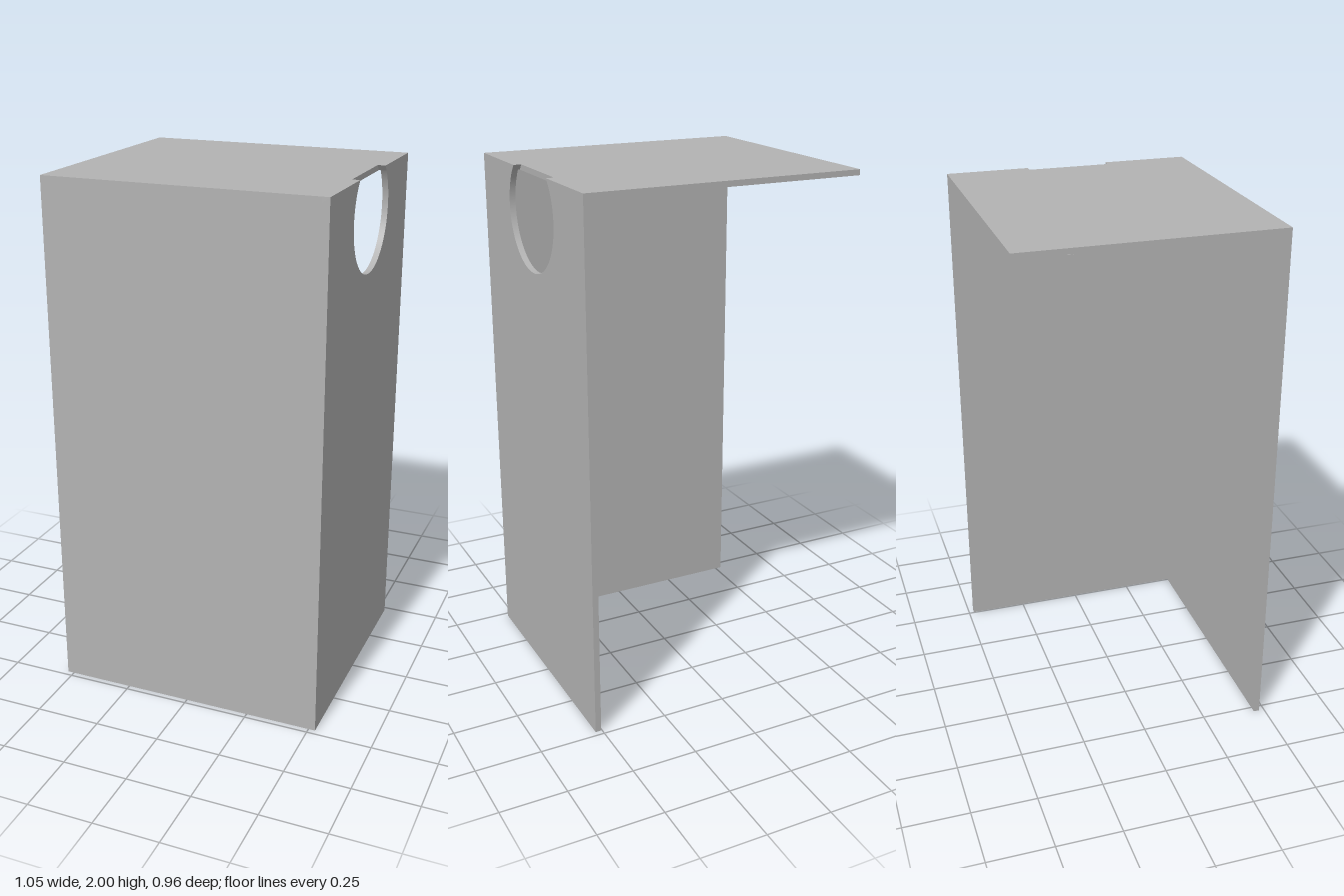
import * as THREE from 'three';

const X = 0.526, Z = 0.479, H = 2;        // half width, half depth, height
const T = 0.0225, TOP = 0.021;            // wall and top thickness
const HOLE = { u: 0.004, y: 1.855, r: 0.214 };
const CUT_X = 0.4965;                     // inner end of the notch in the top

export function createModel() {
  const model = new THREE.Group();
  const grey = new THREE.MeshStandardMaterial({ color: 0xb3b3b3 });
  grey.name = 'grey';

  const add = (name, geometry) => {
    const mesh = new THREE.Mesh(geometry, grey);
    mesh.name = name;
    model.add(mesh);
  };
  const box = (name, x0, x1, y0, y1, z0, z1) => add(name,
    new THREE.BoxGeometry(x1 - x0, y1 - y0, z1 - z0)
      .translate((x0 + x1) / 2, (y0 + y1) / 2, (z0 + z1) / 2));
  // Extrudes a profile drawn in (-z, y) along x
  const sidePlate = (name, shape, x0, x1) => add(name,
    new THREE.ExtrudeGeometry(shape, { depth: x1 - x0, bevelEnabled: false, curveSegments: 96 })
      .rotateY(Math.PI / 2).translate(x0, 0, 0));

  const under = H - TOP;
  const halfChord = (y) => Math.sqrt(HOLE.r ** 2 - (y - HOLE.y) ** 2);

  box('frontPanel', -X, X, 0, under, Z - T, Z);
  box('topPanel', -X, CUT_X, under, H, -Z, Z);

  // Side panel with the round hand hole open at its upper edge
  const a = Math.asin((under - HOLE.y) / HOLE.r);
  const side = new THREE.Shape();
  side.moveTo(-Z + T, 0);
  side.lineTo(Z, 0);
  side.lineTo(Z, under);
  side.lineTo(HOLE.u + halfChord(under), under);
  side.absarc(HOLE.u, HOLE.y, HOLE.r, a, Math.PI - a, true);
  side.lineTo(-Z + T, under);
  sidePlate('sidePanel', side, X - T, X);

  // Top edge on both sides of the hole, following its curve
  for (const s of [-1, 1]) {
    const edge = new THREE.Shape([
      new THREE.Vector2(s * Z, under),
      new THREE.Vector2(HOLE.u + s * halfChord(under), under),
      new THREE.Vector2(HOLE.u + s * halfChord(H), H),
      new THREE.Vector2(s * Z, H),
    ]);
    sidePlate(s < 0 ? 'topEdgeFront' : 'topEdgeBack', edge, CUT_X, X);
  }
  return model;
}
